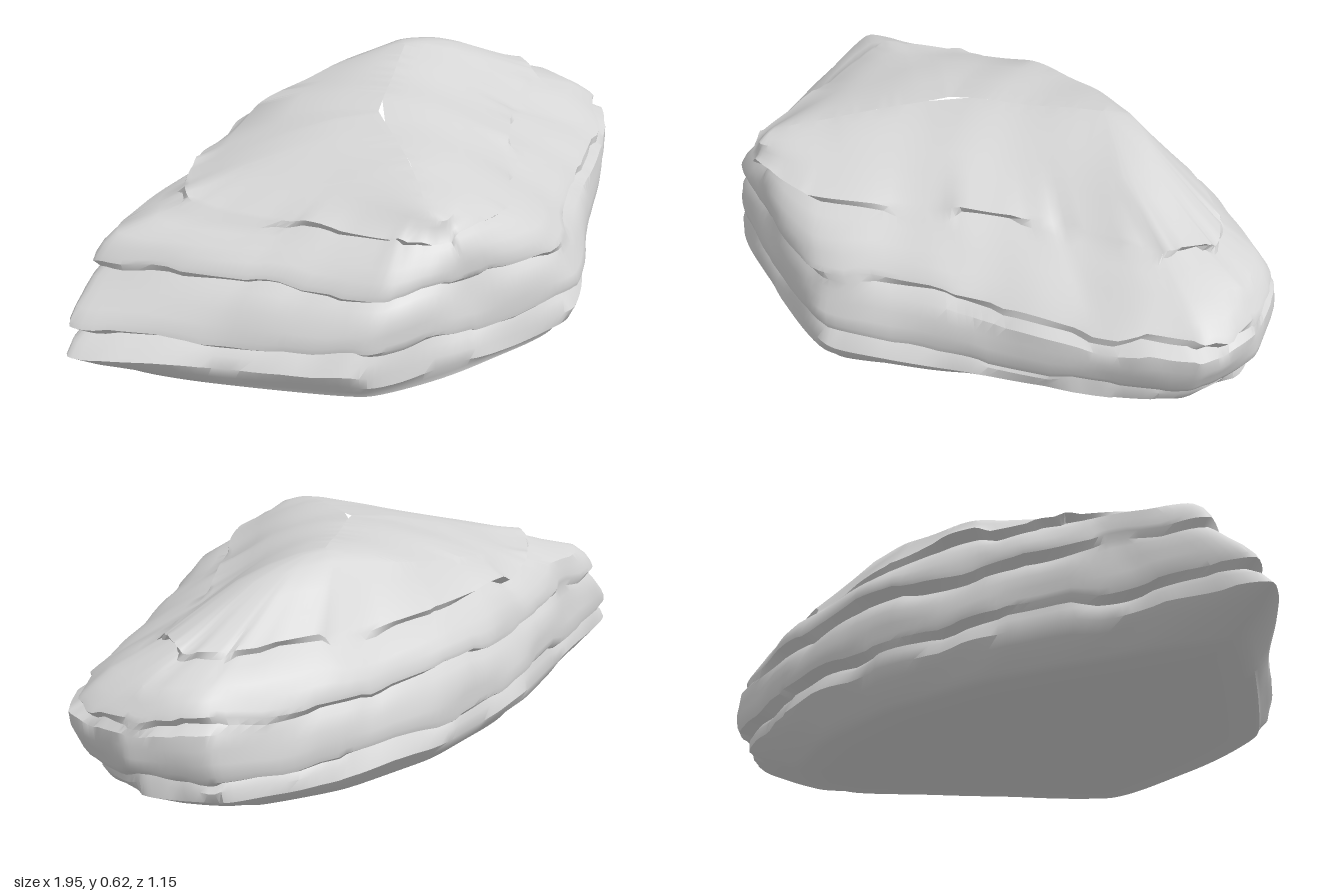
import * as THREE from 'three';
import { toCreasedNormals } from 'three/addons/utils/BufferGeometryUtils.js';

// Horizontal outlines as x, z corners, clockwise from the left-hand tip
const SECTIONS = [
  { y: 0.03, p: [-0.82, 0.05, -0.58, -0.14, -0.28, -0.32, 0.05, -0.44, 0.35, -0.47, 0.58, -0.43, 0.68, -0.33,
    0.68, -0.2, 0.57, 0, 0.44, 0.22, 0.26, 0.5, -0.05, 0.545, -0.36, 0.52, -0.61, 0.3] },
  { y: 0.11, p: [-0.98, 0.03, -0.68, -0.155, -0.34, -0.355, 0.02, -0.505, 0.4, -0.555, 0.72, -0.515, 0.86, -0.38,
    0.89, -0.2, 0.78, 0, 0.56, 0.245, 0.29, 0.54, -0.05, 0.56, -0.38, 0.545, -0.67, 0.29] },
  { y: 0.29, p: [-0.86, -0.04, -0.63, -0.18, -0.33, -0.35, 0.02, -0.505, 0.4, -0.56, 0.77, -0.53, 0.93, -0.37,
    0.98, -0.18, 0.82, 0.03, 0.55, 0.26, 0.25, 0.54, -0.07, 0.56, -0.34, 0.535, -0.6, 0.27] },
  { y: 0.39, p: [-0.79, -0.04, -0.56, -0.19, -0.3, -0.345, 0.03, -0.48, 0.4, -0.53, 0.73, -0.48, 0.85, -0.36,
    0.86, -0.2, 0.64, 0, 0.42, 0.22, 0.17, 0.52, -0.1, 0.56, -0.29, 0.525, -0.5, 0.28] },
  { y: 0.455, p: [-0.59, 0.01, -0.44, -0.21, -0.26, -0.335, 0.04, -0.43, 0.4, -0.465, 0.64, -0.42, 0.73, -0.34,
    0.7, -0.21, 0.48, -0.02, 0.3, 0.2, 0.08, 0.49, -0.13, 0.56, -0.25, 0.51, -0.42, 0.28] },
];
// Shoulder of the cap as x, y, z corners in the same order
const CROWN = [-0.42, 0.5, 0, -0.36, 0.49, -0.2, -0.2, 0.52, -0.31, 0.08, 0.565, -0.36, 0.3, 0.605, -0.35,
  0.42, 0.59, -0.33, 0.5, 0.565, -0.29, 0.5, 0.55, -0.21, 0.33, 0.545, -0.06, 0.18, 0.535, 0.14,
  -0.01, 0.51, 0.44, -0.14, 0.495, 0.55, -0.21, 0.495, 0.49, -0.31, 0.505, 0.25];
const RIDGE = [[-0.17, 0.51, 0.5], [-0.1, 0.555, 0.32], [-0.02, 0.585, 0.04], [0.28, 0.62, -0.28]]
  .map((p) => new THREE.Vector3(...p));
const SEGMENTS = 168;

const closedCurve = (pts) => new THREE.CatmullRomCurve3(pts, true, 'catmullrom', 0.3);
const walls = SECTIONS.map(({ y, p }) => {
  const pts = [];
  for (let i = 0; i < p.length; i += 2) pts.push(new THREE.Vector3(p[i], y, p[i + 1]));
  return closedCurve(pts);
});
const crown = closedCurve(Array.from({ length: CROWN.length / 3 }, (_, i) => new THREE.Vector3().fromArray(CROWN, i * 3)));

// Point on the rock wall at height y, a fraction u of the way round, pushed outwards
function wallPoint(u, y, push = 0) {
  let k = 0;
  while (k < SECTIONS.length - 2 && y > SECTIONS[k + 1].y) k++;
  const t = THREE.MathUtils.clamp((y - SECTIONS[k].y) / (SECTIONS[k + 1].y - SECTIONS[k].y), 0, 1);
  const p = walls[k].getPoint(u).lerp(walls[k + 1].getPoint(u), t);
  const s = 1 + push / Math.hypot(p.x, p.z);
  return p.set(p.x * s, y, p.z * s);
}

// Nearest point of the ridge line
function ridgePoint(p) {
  const spots = RIDGE.slice(1).map((end, i) =>
    new THREE.Line3(RIDGE[i], end).closestPointToPoint(p, true, new THREE.Vector3()));
  return spots.reduce((a, b) => (b.distanceTo(p) < a.distanceTo(p) ? b : a));
}

// Broken, stepped variation of the ledges around the rock
const wander = (u, n) => {
  const a = u * Math.PI * 2;
  return 0.006 * Math.tanh(6 * Math.sin(a * 7 + n * 2.1)) + 0.004 * Math.tanh(6 * Math.sin(a * 13 + n * 4.7));
};
const strength = (u, n) => {
  const a = u * Math.PI * 2;
  return THREE.MathUtils.clamp(0.95 + 0.35 * Math.sin(a * 3 + n * 1.9) + 0.3 * Math.sin(a * 11 + n * 3.3), 0.4, 1.2);
};

// Gentle weathering
function weather(p) {
  const n = Math.sin(p.x * 9 + p.y * 5) * Math.sin(p.z * 8 - p.y * 7 + 1) + 0.5 * Math.sin(p.x * 19 - p.z * 16 + p.y * 11);
  p.x *= 1 + 0.005 * n;
  p.z *= 1 + 0.005 * n;
  if (p.y > 0.06) p.y += 0.004 * n;
  return p;
}

function rockGeometry() {
  const rows = [];
  const addRow = (fn) => rows.push(Array.from({ length: SEGMENTS }, (_, i) => weather(fn(i / SEGMENTS))));

  // Underside
  for (const [s, y] of [[0, 0], [0.45, 0.003], [0.8, 0.01], [0.95, 0.018]]) {
    addRow((u) => {
      const p = wallPoint(u, 0.03);
      return p.set(p.x * s, y, p.z * s);
    });
  }

  // Strata: each layer has an overhanging lip and draws in at its top
  const bounds = [[0.03, 0.155], [0.172, 0.305], [0.325, 0.437]];
  const profile = [[0, 0.014], [0.12, 0.018], [0.35, 0.015], [0.6, 0.007], [0.85, -0.008], [1, -0.022]];
  bounds.forEach(([lo, hi], n) => {
    for (const [f, out] of profile) {
      addRow((u) => {
        const low = lo + (n ? wander(u, n) : 0);
        const high = hi + wander(u, n + 1);
        const push = n === 0 && f < 0.2 ? 0 : out * strength(u, f < 0.5 ? n : n + 1);
        return wallPoint(u, low + (high - low) * f, push);
      });
    }
  });

  // Cap: a last lip, then the slope up to the shoulder
  for (const k of [0, 0.08, 0.3, 0.65, 1]) {
    addRow((u) => {
      const fade = (1 - k) ** 2;
      const p = wallPoint(u, 0.455, 0.013 * strength(u, 3) * fade).lerp(crown.getPoint(u), k);
      p.y += wander(u, 3) * fade;
      return p;
    });
  }
  // Rounded top closing on the ridge
  for (const k of [0.35, 0.7, 1]) {
    addRow((u) => {
      const p = crown.getPoint(u);
      const top = ridgePoint(p);
      const y = THREE.MathUtils.lerp(p.y, top.y, Math.sin(k * Math.PI / 2));
      return p.lerp(top, k).setY(y);
    });
  }

  const index = [];
  for (let j = 0; j < rows.length - 1; j++) {
    for (let i = 0; i < SEGMENTS; i++) {
      const n = (i + 1) % SEGMENTS;
      const a = j * SEGMENTS + i, b = j * SEGMENTS + n;
      const c = a + SEGMENTS, d = b + SEGMENTS;
      index.push(a, c, b, b, c, d);
    }
  }
  const geo = new THREE.BufferGeometry().setFromPoints(rows.flat());
  geo.setIndex(index);

  // Centre and rest on the ground
  geo.computeBoundingBox();
  const { min, max } = geo.boundingBox;
  geo.translate(-(min.x + max.x) / 2, -min.y, -(min.z + max.z) / 2);
  return toCreasedNormals(geo, 0.65);
}

export function createModel() {
  const group = new THREE.Group();
  group.name = 'layeredRock';
  const stone = new THREE.MeshStandardMaterial({ color: 0xd6d6d6 });
  stone.name = 'paleGreyStone';
  const rock = new THREE.Mesh(rockGeometry(), stone);
  rock.name = 'rock';
  group.add(rock);
  return group;
}
